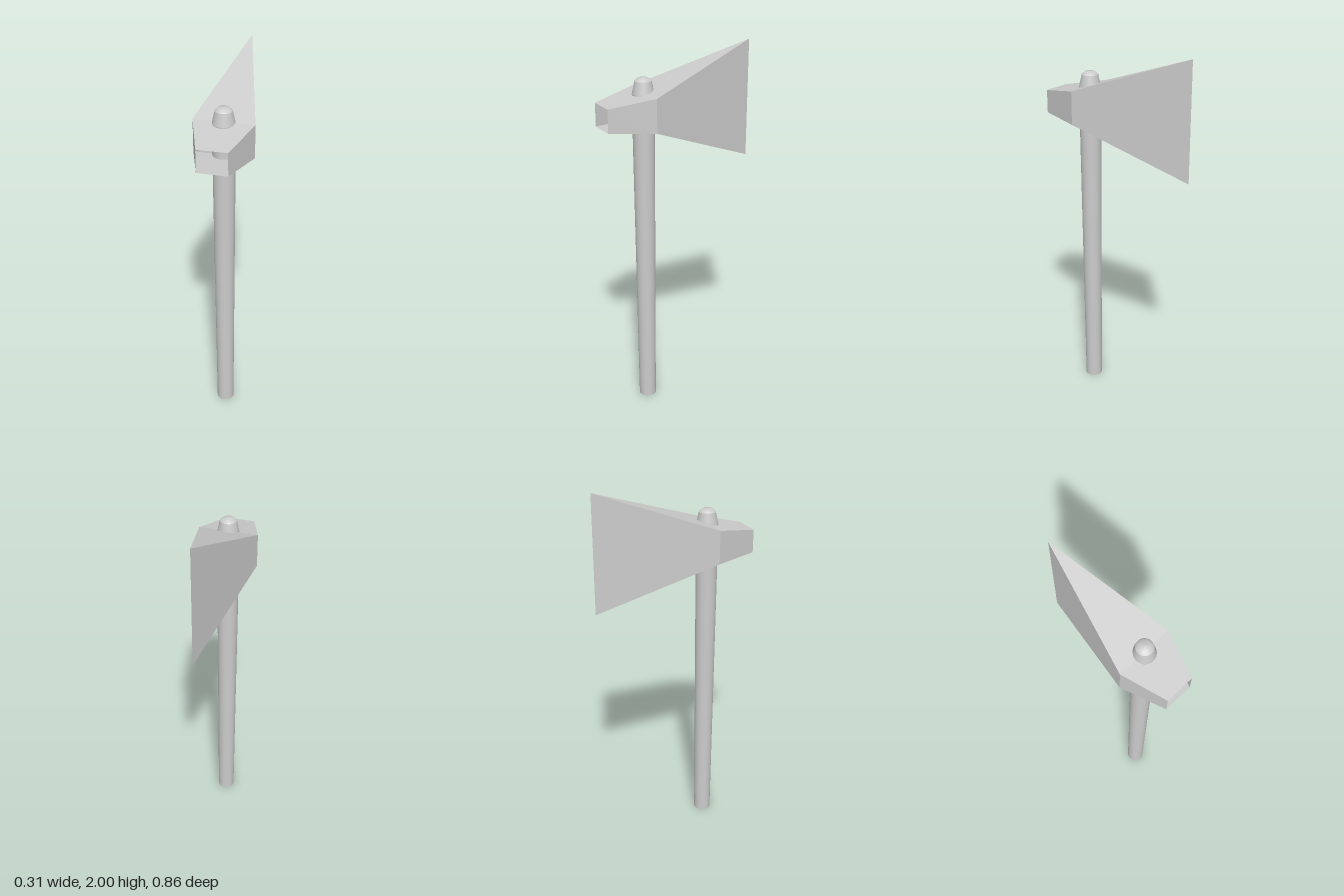
import * as THREE from 'three';

const AXIS_Z = 0.197; // where the handle passes through the head

// Round tapered handle, open at the foot, ending in a short domed plug
function makeHandle(material) {
  const profile = (points) => points.map(([r, y]) => new THREE.Vector2(r, y));
  const handle = new THREE.Group();
  handle.name = 'handle';
  const pieces = {
    shaft: [[0.047, 0], [0.058, 1.6], [0.058, 1.775]],
    plug: [[0.058, 1.775], [0.044, 1.84]],
    plugCap: [[0.044, 1.84], [0.028, 1.855], [0, 1.858]],
  };
  for (const [name, points] of Object.entries(pieces)) {
    const mesh = new THREE.Mesh(new THREE.LatheGeometry(profile(points), 32), material);
    mesh.name = name;
    handle.add(mesh);
  }
  handle.position.z = AXIS_Z;
  return handle;
}

// Wedge head: rectangular sections running from the open poll to the vertical cutting edge
function makeHead(material) {
  const sections = [
    { z: 0.43, x: 0.079, low: 1.613, high: 1.736 },
    { z: AXIS_Z, x: 0.157, low: 1.602, high: 1.78 },
    { z: -0.43, x: 0, low: 1.362, high: 2 },
  ].map(({ z, x, low, high }) => [[-x, low, z], [x, low, z], [x, high, z], [-x, high, z]]);

  const positions = [];
  for (let s = 0; s < sections.length - 1; s++) {
    const front = sections[s], back = sections[s + 1];
    const toEdge = s === sections.length - 2;
    for (let i = 0; i < 4; i++) {
      const j = (i + 1) % 4;
      positions.push(...front[i], ...back[i], ...front[j]);
      // top and bottom shrink to a single corner at the cutting edge
      if (!(toEdge && i % 2 === 0)) positions.push(...front[j], ...back[i], ...back[j]);
    }
  }
  const geometry = new THREE.BufferGeometry();
  geometry.setAttribute('position', new THREE.Float32BufferAttribute(positions, 3));
  geometry.computeVertexNormals();
  const head = new THREE.Mesh(geometry, material);
  head.name = 'axeHead';
  return head;
}

export function createModel() {
  const smooth = new THREE.MeshStandardMaterial({ color: 0xcccccc, side: THREE.DoubleSide });
  const flat = new THREE.MeshStandardMaterial({ color: 0xcccccc, side: THREE.DoubleSide, flatShading: true });
  const axe = new THREE.Group();
  axe.name = 'axe';
  axe.add(makeHandle(smooth), makeHead(flat));
  return axe;
}
